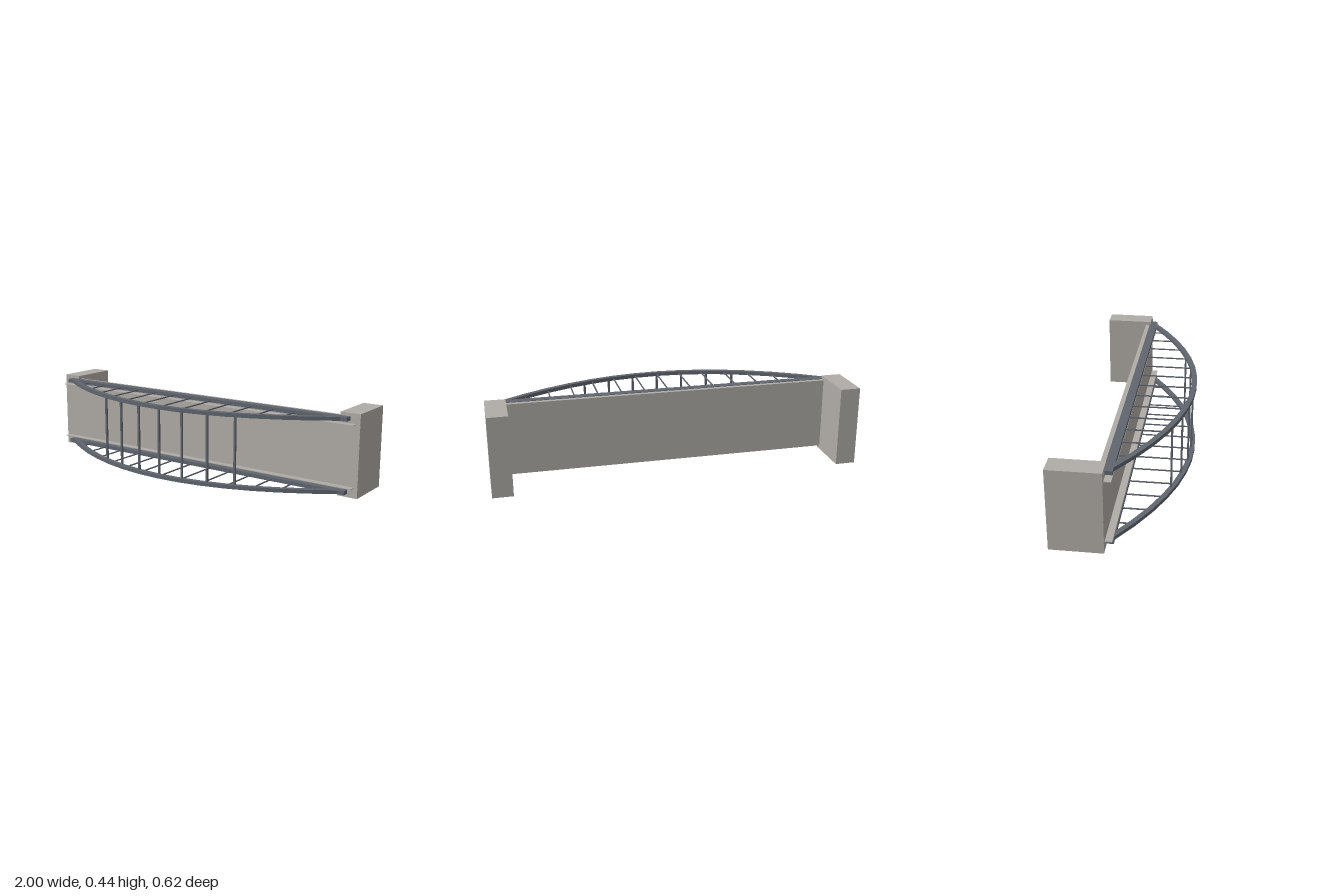
import * as THREE from 'three';

export function createModel() {
  const model = new THREE.Group();
  const concrete = new THREE.MeshStandardMaterial({ color: 0xb0aca6 });
  concrete.name = 'concrete';
  const steel = new THREE.MeshStandardMaterial({ color: 0x60656e });
  steel.name = 'steel';

  const MID_Y = 0.21875;      // middle of the bridge's width
  const HALF_SPAN = 0.91, RISE = 0.32, CROWN = 0.298, PANELS = 14;
  const archZ = (x) => CROWN - RISE * (x / HALF_SPAN) ** 2;

  // Box given by its limits on each axis
  function box(name, material, [x0, x1], [y0, y1], [z0, z1]) {
    const mesh = new THREE.Mesh(new THREE.BoxGeometry(x1 - x0, y1 - y0, z1 - z0), material);
    mesh.position.set((x0 + x1) / 2, (y0 + y1) / 2, (z0 + z1) / 2);
    mesh.name = name;
    model.add(mesh);
  }
  const around = (c, size) => [c - size / 2, c + size / 2];

  // Deck slab and the two abutments
  box('deck', concrete, [-0.999, 0.999], [0.02, 0.418], [-0.075, -0.043]);
  for (const s of [-1, 1]) {
    box('abutment', concrete, around(s * 0.945, 0.11), [0, 0.4375], [-0.3125, -0.0435]);
  }

  // Arch rib: a parabolic band, faceted once per panel
  const outer = [], inner = [];
  for (let i = 0; i <= PANELS; i++) {
    const x = -HALF_SPAN + (2 * HALF_SPAN * i) / PANELS;
    const slope = (-2 * RISE * x) / HALF_SPAN ** 2;
    const n = new THREE.Vector2(-slope, 1).normalize().multiplyScalar(0.014);
    outer.push(new THREE.Vector2(x + n.x, archZ(x) + n.y));
    inner.push(new THREE.Vector2(x - n.x, archZ(x) - n.y));
  }
  const archGeometry = new THREE.ExtrudeGeometry(
    new THREE.Shape([...outer, ...inner.reverse()]), { depth: 0.02, bevelEnabled: false });
  archGeometry.translate(0, 0, -0.01).rotateX(Math.PI / 2);

  // Each side: tie beam, kerb plate, arch rib and hangers
  for (const s of [-1, 1]) {
    const y = MID_Y + s * 0.19;
    box('tieBeam', steel, [-0.945, 0.945], around(y + 0.001, 0.021), [-0.05, -0.005]);
    box('kerb', concrete, [-0.98, 0.98], around(MID_Y + s * 0.164, 0.004), [-0.045, -0.007]);

    const arch = new THREE.Mesh(archGeometry, steel);
    arch.position.y = y + 0.001;
    arch.name = 'archRib';
    model.add(arch);

    for (let i = 1; i < PANELS; i++) {
      const x = -HALF_SPAN + (2 * HALF_SPAN * i) / PANELS;
      box('hanger', steel, around(x, 0.006), around(y, 0.006), [-0.01, archZ(x)]);
    }
  }

  // Cross struts joining the arch ribs near the crown
  for (let i = -3; i <= 3; i++) {
    const x = i * 0.145;
    box('crossStrut', steel, around(x, 0.011), [0.035, 0.405], around(archZ(x) - 0.006, 0.01));
  }

  return model;
}
